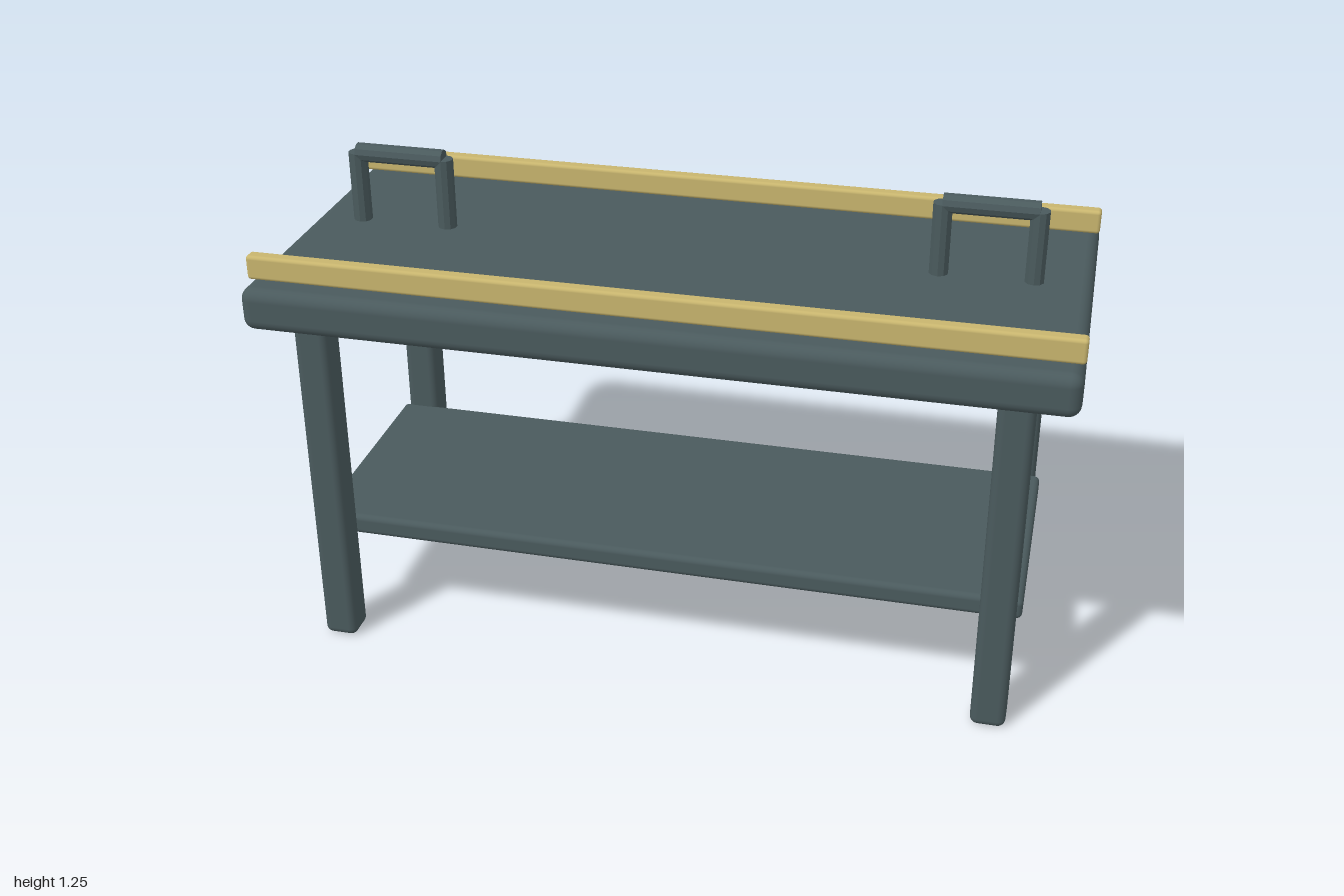
import * as THREE from 'three';
import { RoundedBoxGeometry } from 'three/addons/geometries/RoundedBoxGeometry.js';

export function createModel() {
  const slate = new THREE.MeshStandardMaterial({ color: 0x4a5a5d });
  slate.name = 'slate';
  const brass = new THREE.MeshStandardMaterial({ color: 0xc8b56e });
  brass.name = 'brass';

  const model = new THREE.Group();
  model.name = 'workbench';

  // Rounded block given by its size and centre
  function block(name, size, centre, radius, material = slate) {
    const mesh = new THREE.Mesh(new RoundedBoxGeometry(...size, 3, radius), material);
    mesh.name = name;
    mesh.position.set(...centre);
    model.add(mesh);
  }

  // Flat-sided rod
  function rod(name, length) {
    const geometry = new THREE.CylinderGeometry(0.024, 0.024, length, 10).toNonIndexed();
    geometry.computeVertexNormals();
    const mesh = new THREE.Mesh(geometry, slate);
    mesh.name = name;
    return mesh;
  }

  // Top and lower shelf
  block('tableTop', [2, 0.11, 0.914], [0, 0.975, 0], 0.03);
  block('shelf', [1.83, 0.056, 0.626], [0, 0.307, 0], 0.015);

  for (const side of [-1, 1]) {
    const sideName = side > 0 ? 'left' : 'right';

    // Legs, front and back
    for (const depth of [-1, 1]) {
      const end = depth > 0 ? 'Front' : 'Back';
      block(sideName + end + 'Leg', [0.088, 0.915, 0.088], [side * 0.858, 0.4575, depth * 0.344], 0.02);
    }

    // Rails along the long edges
    block(side > 0 ? 'frontRail' : 'backRail', [2, 0.062, 0.037], [0, 1.062, side * 0.378], 0.009, brass);

    // Handle: two posts and a crossbar
    const handle = new THREE.Group();
    handle.name = sideName + 'Handle';
    handle.position.x = side * 0.743;
    for (const x of [-0.115, 0.115]) {
      const post = rod('handlePost', 0.183);
      post.position.set(x, 1.1365, 0);
      handle.add(post);
    }
    const bar = rod('handleBar', 0.23);
    bar.rotation.z = Math.PI / 2;
    bar.position.y = 1.227;
    handle.add(bar);
    model.add(handle);
  }

  return model;
}
